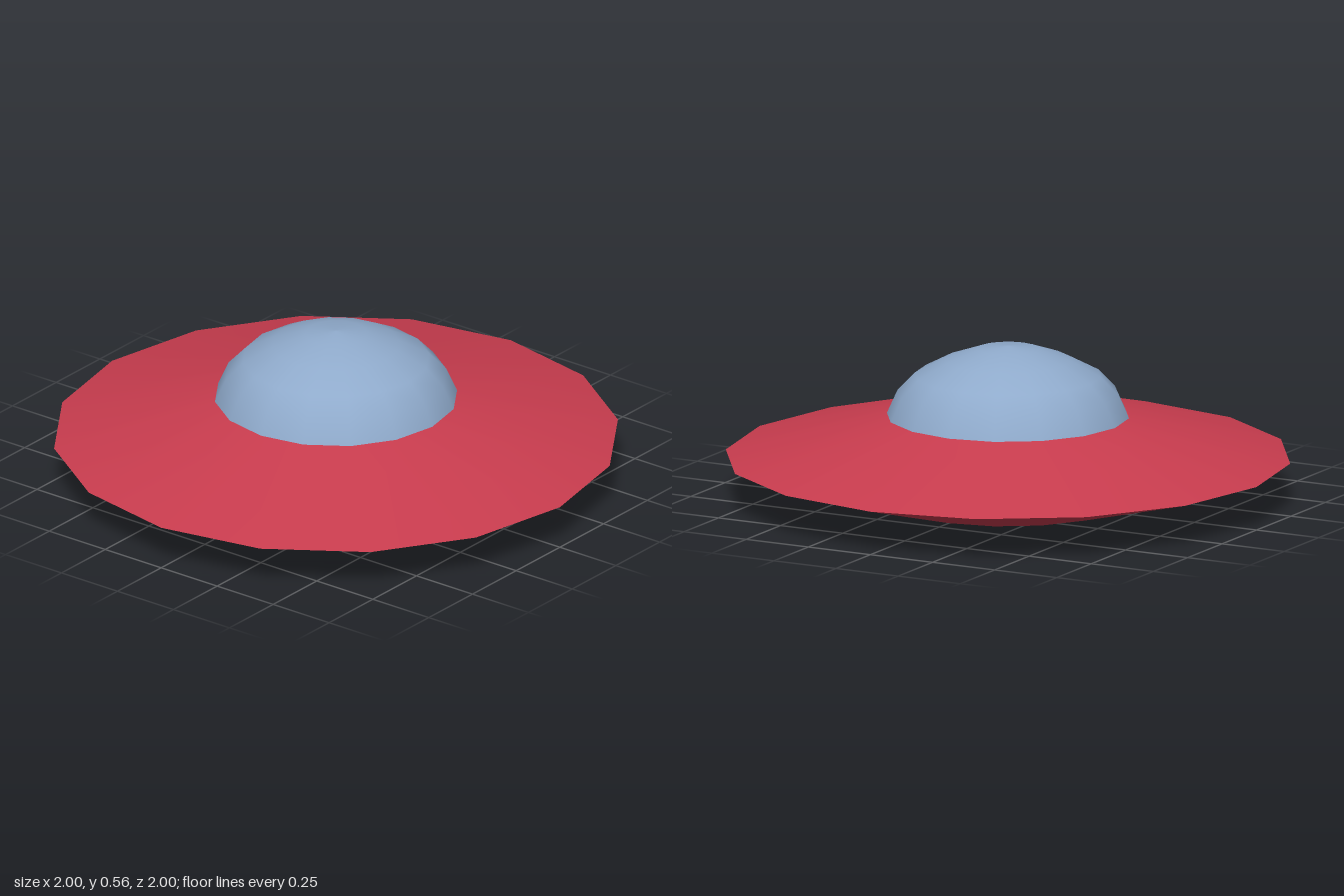
import * as THREE from 'three';

const SIDES = 16;

// Turns a profile of [radius, height] pairs, listed from bottom to top, into a named part.
function turned(name, profile, color) {
  const points = profile.map(([r, y]) => new THREE.Vector2(r, y));
  const mesh = new THREE.Mesh(
    new THREE.LatheGeometry(points, SIDES),
    new THREE.MeshStandardMaterial({ color, side: THREE.DoubleSide })
  );
  mesh.name = name;
  return mesh;
}

export function createModel() {
  const red = 0xc83c4e;
  const blue = 0x8faacb;
  const model = new THREE.Group();
  model.name = 'flyingSaucer';

  // Hull: two shallow cones meeting in a sharp outer rim
  const hull = new THREE.Group();
  hull.name = 'hull';
  hull.add(
    turned('lowerHull', [[0.43, 0], [1, 0.155]], red),
    turned('upperHull', [[1, 0.155], [0.43, 0.305]], red),
    // Shallow dished plate closing the underside
    turned('bellyPlate', [[0, 0.035], [0.4, 0.035], [0.43, 0]], red)
  );

  // Canopy: low rounded dome, slightly flared at its base
  const canopy = turned('canopy', [
    [0.43, 0.3], [0.392, 0.385], [0.33, 0.45], [0.225, 0.505], [0.11, 0.545], [0, 0.556],
  ], blue);

  model.add(hull, canopy);
  return model;
}
